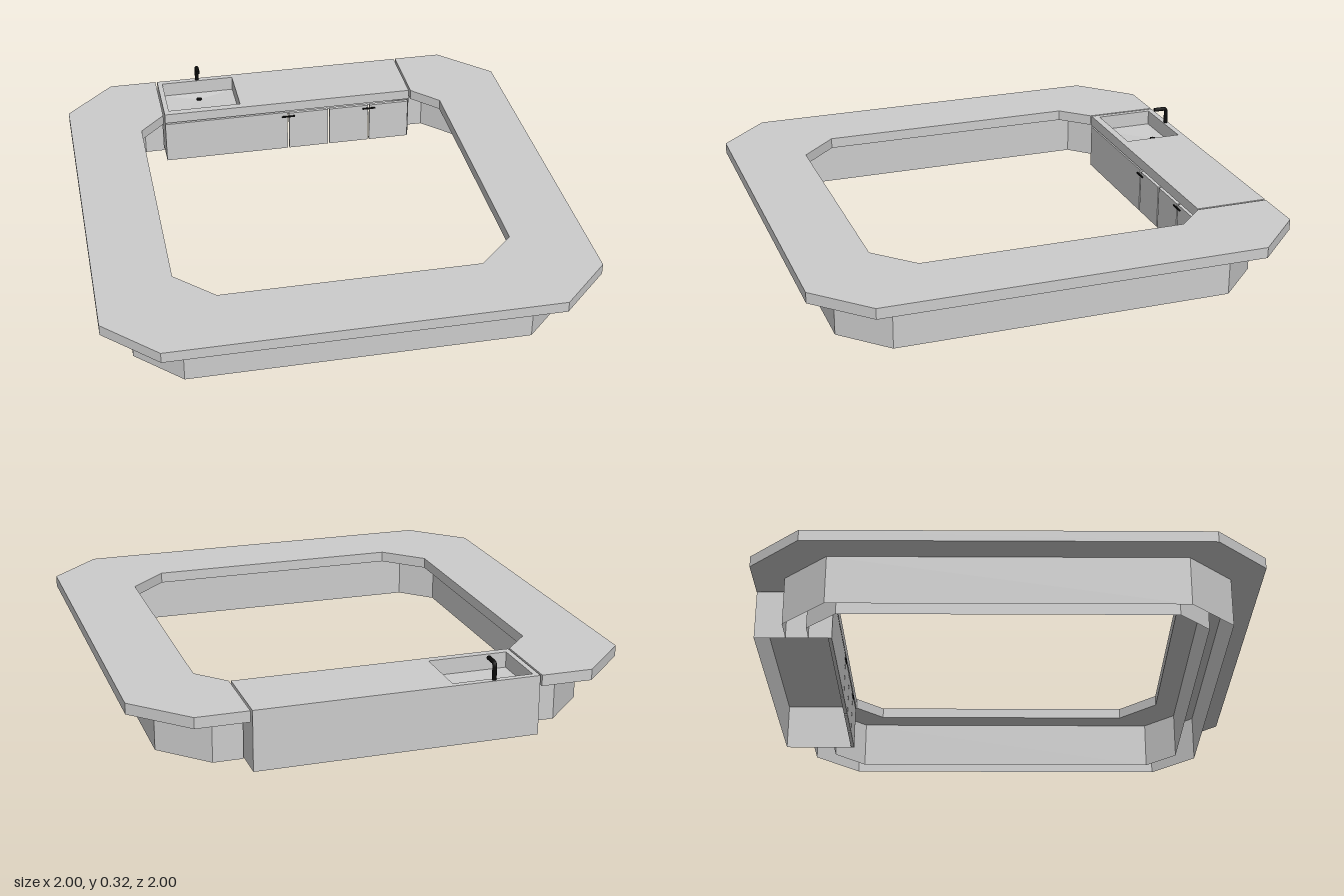
import * as THREE from 'three';

const grey = new THREE.MeshStandardMaterial({ color: 0xcccccc, flatShading: true });
const greyThin = new THREE.MeshStandardMaterial({ color: 0xcccccc, flatShading: true, side: THREE.DoubleSide });
const black = new THREE.MeshStandardMaterial({ color: 0x0a0a0a });

function add(parent, name, geometry, material = grey) {
  const mesh = new THREE.Mesh(geometry, material);
  mesh.name = name;
  parent.add(mesh);
  return mesh;
}

function box(parent, name, x0, x1, y0, y1, z0, z1, material = grey) {
  const mesh = add(parent, name, new THREE.BoxGeometry(x1 - x0, y1 - y0, z1 - z0), material);
  mesh.position.set((x0 + x1) / 2, (y0 + y1) / 2, (z0 + z1) / 2);
  return mesh;
}

// Plan points are [x, z]; the slab spans y0..y1
function slab(points, y0, y1, hole) {
  const toPlan = list => list.map(([x, z]) => new THREE.Vector2(x, -z));
  const shape = new THREE.Shape(toPlan(points));
  if (hole) shape.holes.push(new THREE.Path(toPlan(hole)));
  return new THREE.ExtrudeGeometry(shape, { depth: y1 - y0, bevelEnabled: false })
    .rotateX(-Math.PI / 2).translate(0, y0, 0);
}

// Thin upright panels following a plan path
function panels(points, y0, y1, closed) {
  const pos = [];
  const count = closed ? points.length : points.length - 1;
  for (let i = 0; i < count; i++) {
    const [ax, az] = points[i];
    const [bx, bz] = points[(i + 1) % points.length];
    pos.push(ax, y0, az, bx, y0, bz, bx, y1, bz, ax, y0, az, bx, y1, bz, ax, y1, az);
  }
  return fromPositions(pos);
}

function fromPositions(pos) {
  const g = new THREE.BufferGeometry();
  g.setAttribute('position', new THREE.Float32BufferAttribute(pos, 3));
  g.computeVertexNormals();
  return g;
}

// Right half of a plan, completed by its mirror image
const mirrored = half => [...half, ...half.slice().reverse().map(([x, z]) => [-x, z])];

export function createModel() {
  const group = new THREE.Group();
  const top = 0.245, under = 0.2;

  // Counter running round the front, the sides and the back corners
  const outerEdge = [[0.58, -1], [0.79, -1], [1, -0.79], [1, 0.79], [0.79, 1]];
  const innerEdge = [[0.535, 0.69], [0.69, 0.535], [0.69, -0.575], [0.58, -0.69]];
  const outerLoop = mirrored(outerEdge);
  const innerLoop = [...innerEdge.slice().reverse().map(([x, z]) => [-x, z]), ...innerEdge];
  add(group, 'counterTop', slab([...outerLoop, ...innerLoop], under, top));

  // Hollow base wall: outer and inner skins joined at the ends, open below
  const outerWall = mirrored([[0.575, -0.875], [0.695, -0.875], [0.875, -0.695], [0.875, 0.695], [0.695, 0.875]]);
  const innerWall = mirrored([[0.575, -0.785], [0.66, -0.785], [0.785, -0.66], [0.785, 0.66], [0.66, 0.785]]);
  add(group, 'baseWall', panels([...outerWall, ...innerWall.reverse()], 0, under, true), greyThin);

  // Sink cabinet closing the back
  const cabinet = new THREE.Group();
  cabinet.name = 'sinkCabinet';
  group.add(cabinet);
  const w = 0.572, front = -0.693;
  const sink = [[-0.55, -0.975], [-0.22, -0.975], [-0.22, -0.725], [-0.55, -0.725]];
  add(cabinet, 'cabinetTop', slab([[-w, -1], [w, -1], [w, front], [-w, front]], under, top, sink));
  add(cabinet, 'cabinetShell', panels([[-w, front], [-w, -1], [w, -1], [w, front]], 0, under), greyThin);
  box(cabinet, 'frontPanel', -w, -0.004, 0, 0.193, front - 0.015, front);
  for (let i = 0; i < 3; i++) {
    const x = i * 0.191;
    box(cabinet, 'door', x + 0.004, x + 0.187, 0, 0.187, front - 0.015, front);
  }
  for (const x of [0, 0.382]) {
    box(cabinet, 'doorHandle', x - 0.03, x + 0.03, 0.168, 0.174, front, front + 0.006, black);
  }

  // Basin with a floor falling to the drain
  const floorY = 0.18, drain = [-0.385, 0.172, -0.925];
  add(cabinet, 'basinWall', panels(sink, floorY, top, true), greyThin);
  const floor = [];
  sink.forEach(([x, z], i) => {
    const [nx, nz] = sink[(i + 1) % 4];
    floor.push(x, floorY, z, ...drain, nx, floorY, nz);
  });
  add(cabinet, 'basinFloor', fromPositions(floor), greyThin);
  const plug = add(cabinet, 'drain', new THREE.CylinderGeometry(0.013, 0.013, 0.004, 16), black);
  plug.position.set(drain[0], drain[1] + 0.002, drain[2]);

  // Tap: upright, bend and spout
  const path = new THREE.CurvePath();
  const p = (y, z) => new THREE.Vector3(-0.385, y, z);
  path.add(new THREE.LineCurve3(p(0.235, -0.987), p(0.298, -0.987)));
  path.add(new THREE.QuadraticBezierCurve3(p(0.298, -0.987), p(0.314, -0.987), p(0.314, -0.971)));
  path.add(new THREE.LineCurve3(p(0.314, -0.971), p(0.314, -0.932)));
  add(cabinet, 'tap', new THREE.TubeGeometry(path, 24, 0.009, 10), black);
  const tip = add(cabinet, 'tapSpoutEnd', new THREE.CylinderGeometry(0.009, 0.009, 0.006, 10), black);
  tip.rotation.x = Math.PI / 2;
  tip.position.set(-0.385, 0.314, -0.931);

  return group;
}
